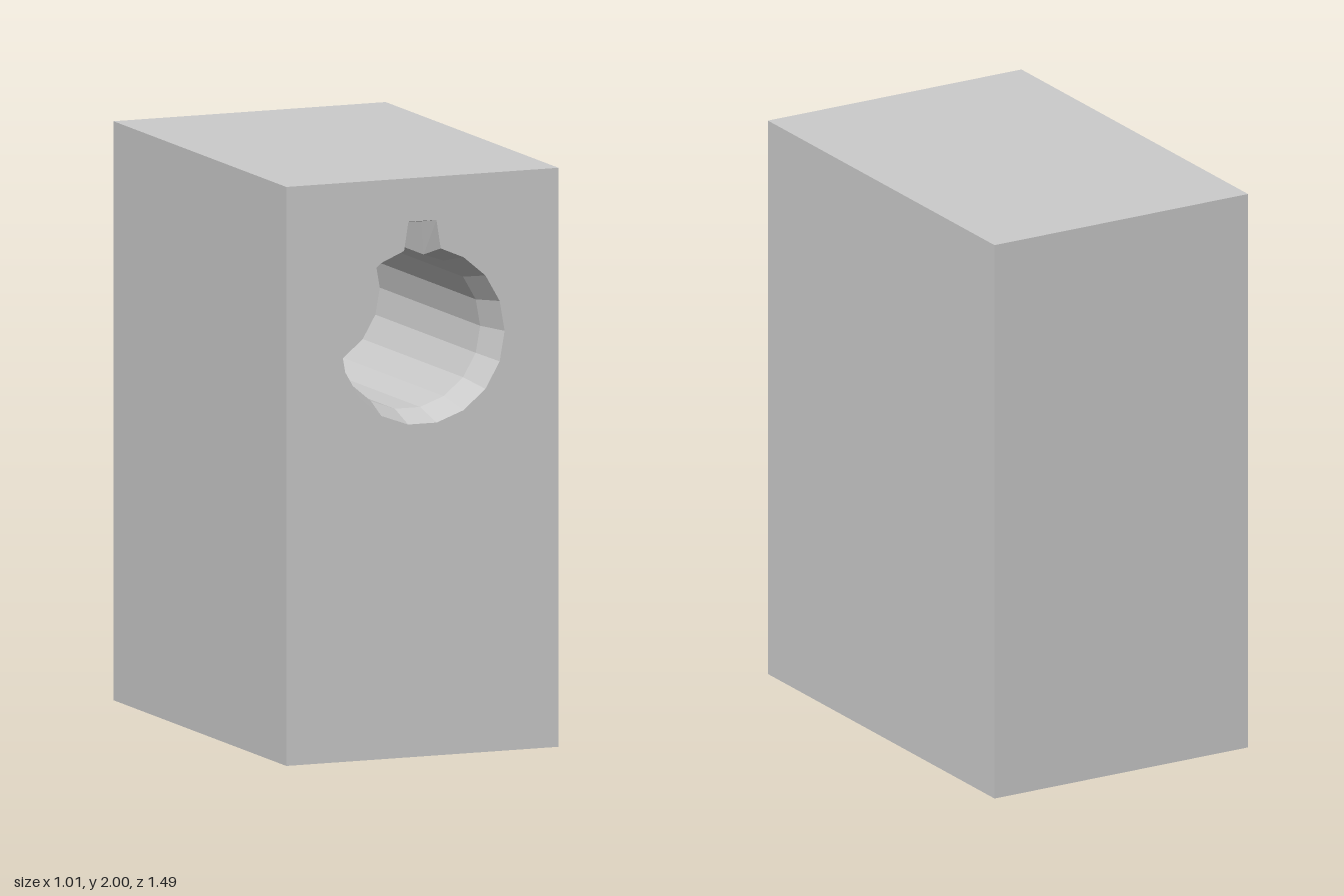
import * as THREE from 'three';

const W = 1.01, H = 2, D = 1.49;
const CENTRE_Y = 1.45;

// Keyhole outline, counter-clockwise: 18-sided circle with a slot at the top
function keyhole(radius, slotBottom, slotTop) {
  const points = [];
  for (let deg = 120; deg <= 420; deg += 20) {
    const a = THREE.MathUtils.degToRad(deg);
    points.push(new THREE.Vector2(radius * Math.cos(a), CENTRE_Y + radius * Math.sin(a)));
  }
  const [bx, by] = slotBottom, [tx, ty] = slotTop;
  points.push(
    new THREE.Vector2(bx, by), new THREE.Vector2(tx, ty),
    new THREE.Vector2(-tx, ty), new THREE.Vector2(-bx, by));
  return points;
}

// Inward-facing wall joining successive outlines
function loft(rings) {
  const position = [];
  for (let r = 0; r < rings.length - 1; r++) {
    const front = rings[r], back = rings[r + 1], n = front.points.length;
    for (let i = 0; i < n; i++) {
      const j = (i + 1) % n;
      const corner = (ring, k) => [ring.points[k].x, ring.points[k].y, ring.z];
      const a = corner(front, i), b = corner(front, j);
      const c = corner(back, i), d = corner(back, j);
      position.push(...a, ...b, ...c, ...b, ...d, ...c);
    }
  }
  const geometry = new THREE.BufferGeometry();
  geometry.setAttribute('position', new THREE.Float32BufferAttribute(position, 3));
  geometry.computeVertexNormals();
  return geometry;
}

export function createModel() {
  const model = new THREE.Group();
  model.name = 'keyedSocketBlock';
  const material = new THREE.MeshStandardMaterial({ color: 0xcccccc, flatShading: true });
  const add = (name, geometry) => {
    const mesh = new THREE.Mesh(geometry, material);
    mesh.name = name;
    model.add(mesh);
    return mesh;
  };

  const mouth = keyhole(0.305, [0.068, 1.75], [0.052, 1.85]);
  const bore = keyhole(0.27, [0.06, 1.71], [0.05, 1.825]);
  const floorZ = -0.25;

  // Block body: a box without its front side
  const box = new THREE.BoxGeometry(W, H, D);
  const index = Array.from(box.index.array);
  index.splice(24, 6);
  box.setIndex(index);
  box.clearGroups();
  add('blockBody', box).position.y = H / 2;

  // Front side with the socket opening
  const face = new THREE.Shape([
    new THREE.Vector2(-W / 2, 0), new THREE.Vector2(W / 2, 0),
    new THREE.Vector2(W / 2, H), new THREE.Vector2(-W / 2, H)]);
  face.holes.push(new THREE.Path(mouth));
  add('frontFace', new THREE.ShapeGeometry(face)).position.z = D / 2;

  // Tapered mouth followed by a straight bore
  add('socketWall', loft([
    { points: mouth, z: D / 2 },
    { points: bore, z: D / 2 - 0.13 },
    { points: bore, z: floorZ }]));
  add('socketFloor', new THREE.ShapeGeometry(new THREE.Shape(bore))).position.z = floorZ;

  return model;
}
